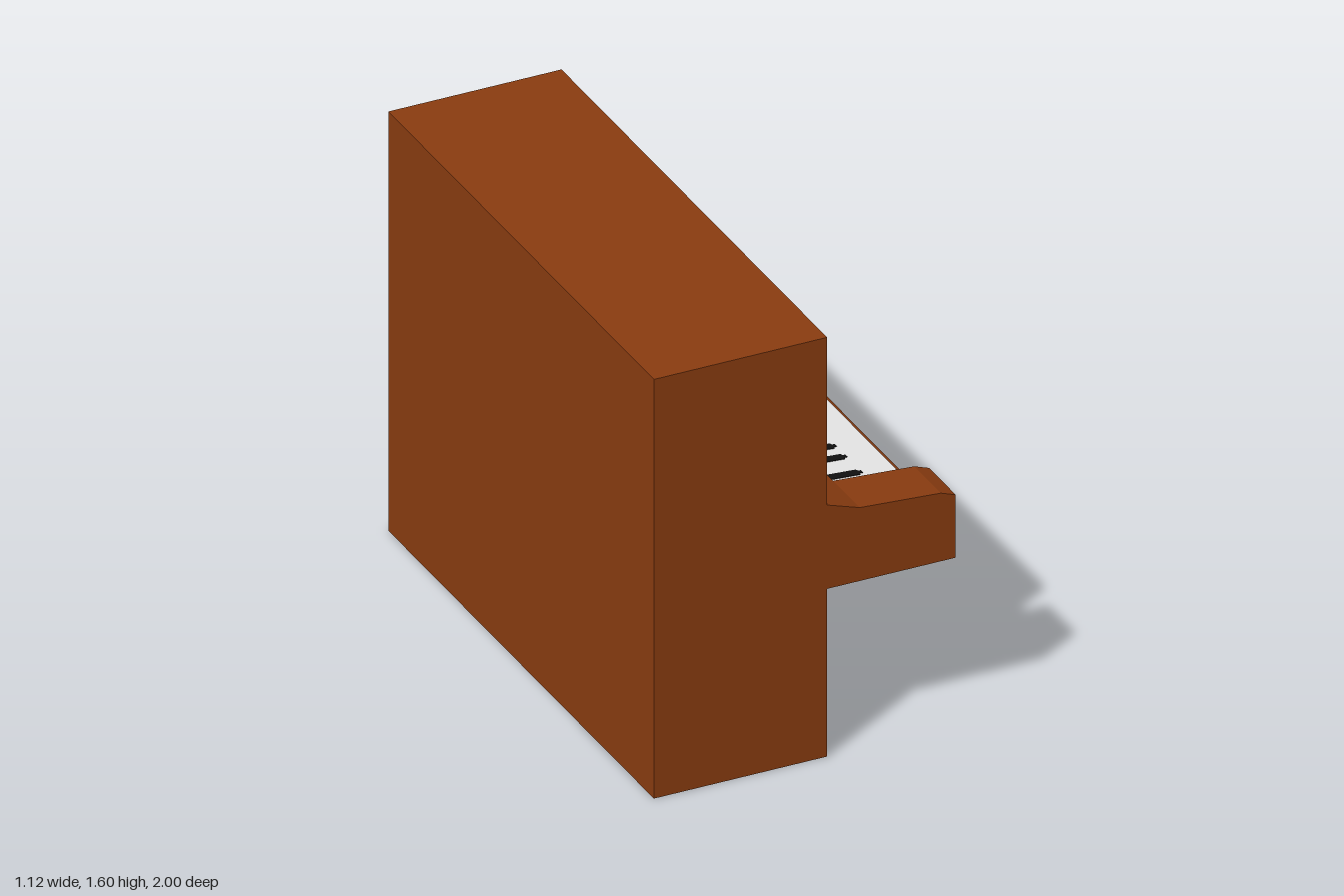
import * as THREE from 'three';

const mat = (name, color) => {
  const m = new THREE.MeshStandardMaterial({ color });
  m.name = name;
  return m;
};

export function createModel() {
  const wood = mat('brown wood', 0x8a3c10);
  const ivory = mat('white keys', 0xe8e8e8);
  const ebony = mat('black keys', 0x101010);
  const brass = mat('brass', 0x988c30);

  const piano = new THREE.Group();
  piano.name = 'uprightPiano';

  const add = (name, geometry, material, parent = piano) => {
    const mesh = new THREE.Mesh(geometry, material);
    mesh.name = name;
    parent.add(mesh);
    return mesh;
  };
  const extrude = (points, depth) => new THREE.ExtrudeGeometry(
    new THREE.Shape(points.map(([x, y]) => new THREE.Vector2(x, y))),
    { depth, bevelEnabled: false });
  // side profile (x, y) swept from z0 to z1
  const sweep = (points, z0, z1) => extrude(points, z1 - z0).translate(0, 0, z0);
  // plan outline (x, z) hanging down from height top
  const slab = (points, top, thick) =>
    extrude(points, thick).rotateX(Math.PI / 2).translate(0, top, 0);

  // tall cabinet
  add('cabinet', new THREE.BoxGeometry(0.64, 1.6, 2).translate(-0.24, 0.8, 0), wood);

  // key bed: solid cheeks at both ends, recessed between them
  const zMin = -0.825, zMax = 0.8;
  const cheek = [[0.08, 0.64], [0.555, 0.64], [0.555, 0.88], [0.5, 0.9], [0.2, 0.92], [0.08, 0.96]];
  const bed = [[0.08, 0.64], [0.555, 0.64], [0.555, 0.76], [0.5, 0.785], [0.2, 0.785], [0.2, 0.92], [0.08, 0.96]];
  add('leftCheek', sweep(cheek, -1, zMin), wood);
  add('rightCheek', sweep(cheek, zMax, 1), wood);
  add('keyBed', sweep(bed, zMin, zMax), wood);

  // white keyboard, rising gently to the back
  add('whiteKeys', sweep([[0.2, 0.785], [0.5, 0.785], [0.5, 0.82], [0.2, 0.84]], zMin, zMax), ivory);

  // black keys: thin plates on the slope, in groups of two and three
  const blackKeys = new THREE.Group();
  blackKeys.name = 'blackKeys';
  piano.add(blackKeys);
  const outline = [[0, -0.0175], [0.17, -0.0175], [0.174, -0.008], [0.184, -0.008],
    [0.184, 0.008], [0.174, 0.008], [0.17, 0.0175], [0, 0.0175]];
  const keyGeometry = slab(outline, 0.002, 0.004);
  let z = -0.767;
  for (const count of [2, 3, 2, 3, 2, 3, 2]) {
    for (let i = 0; i < count; i++) {
      const key = add('blackKey', keyGeometry, ebony, blackKeys);
      key.position.set(0.2, 0.84, z);
      key.rotation.z = -Math.atan2(0.02, 0.3);
      z += 0.079;
    }
    z += 0.0373;
  }

  // pair of pedals curving away from each other
  const pedal = [[0.08, 0.09], [0.14, 0.085], [0.2, 0.098], [0.26, 0.125],
    [0.215, 0.19], [0.17, 0.158], [0.13, 0.145], [0.08, 0.145]];
  for (const side of [1, -1]) {
    const points = pedal.map(([x, w]) => [x, side * (w + 0.005) - 0.005]);
    add(side > 0 ? 'rightPedal' : 'leftPedal', slab(points, 0.063, 0.038), brass);
  }

  return piano;
}
